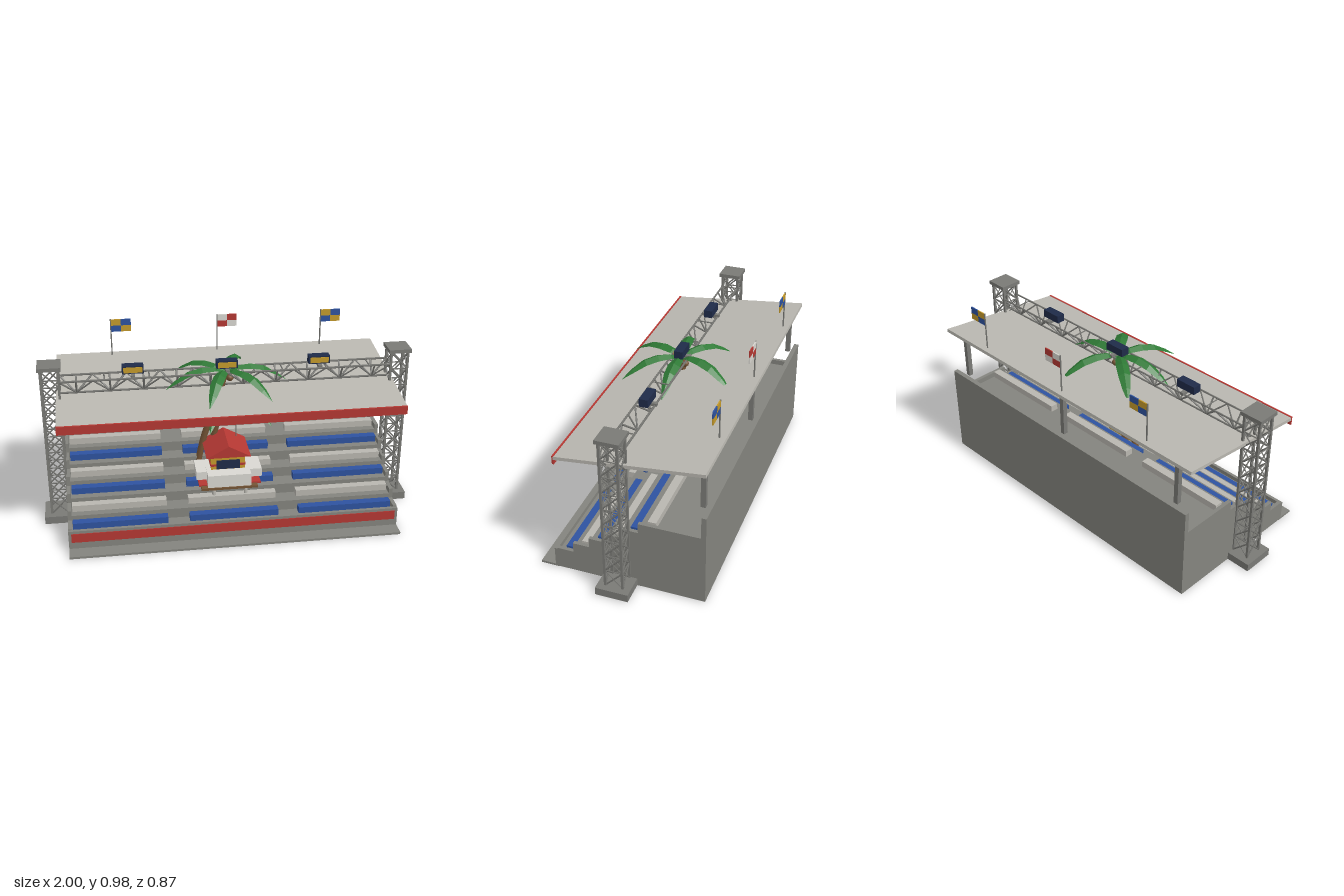
import * as THREE from 'three';

const mat = (name, color) => {
  const m = new THREE.MeshStandardMaterial({ color, side: THREE.DoubleSide });
  m.name = name;
  return m;
};

export function createModel() {
  const concrete = mat('concrete', 0x84847e), steel = mat('steel', 0x7a7a76);
  const pale = mat('pale grey', 0xb9b7b0), white = mat('white', 0xdad8d2);
  const red = mat('red', 0xb53833), blue = mat('blue', 0x2e53a0);
  const gold = mat('gold', 0xc59a2b), green = mat('leaf green', 0x2f7a36);
  const brown = mat('bark brown', 0x765536), navy = mat('navy', 0x1f2b49);

  const model = new THREE.Group();
  const group = (name, parent = model) => {
    const g = new THREE.Group();
    g.name = name;
    parent.add(g);
    return g;
  };
  const add = (parent, name, geo, material) => {
    const m = new THREE.Mesh(geo, material);
    m.name = name;
    parent.add(m);
    return m;
  };
  // box given by its limits on each axis
  const box = (parent, name, material, x0, x1, y0, y1, z0, z1) => {
    const m = add(parent, name, new THREE.BoxGeometry(x1 - x0, y1 - y0, z1 - z0), material);
    m.position.set((x0 + x1) / 2, (y0 + y1) / 2, (z0 + z1) / 2);
    return m;
  };
  // straight bar between two points
  const bar = (parent, name, material, a, b, r = 0.004, sides = 4) => {
    const p = new THREE.Vector3(...a), q = new THREE.Vector3(...b), d = q.clone().sub(p);
    const m = add(parent, name, new THREE.CylinderGeometry(r, r, d.length(), sides), material);
    m.position.copy(p).add(q).multiplyScalar(0.5);
    m.quaternion.setFromUnitVectors(new THREE.Vector3(0, 1, 0), d.normalize());
    return m;
  };
  // stepped or plain (z, y) outline extruded along x
  const extrudeX = (parent, name, material, pts, x0, x1) => {
    const s = new THREE.Shape(pts.map(([z, y]) => new THREE.Vector2(z, y)));
    const g = new THREE.ExtrudeGeometry(s, { depth: x1 - x0, bevelEnabled: false });
    g.rotateY(-Math.PI / 2).translate(x1, 0, 0);
    return add(parent, name, g, material);
  };

  // Terraces: lower treads between two stepped end walls
  const stand = group('grandstand');
  const steps = (drop) => {
    const pts = [[-0.41, 0.003], [0.34, 0.003]];
    for (let i = 0; i < 6; i++) {
      const y = 0.12 + i * 0.054 - drop;
      pts.push([0.34 - i * 0.087, y], [i < 5 ? 0.253 - i * 0.087 : -0.41, y]);
    }
    return pts;
  };
  extrudeX(stand, 'terraces', concrete, steps(0.028), -0.85, 0.85);
  for (const s of [-1, 1]) {
    extrudeX(stand, 'endWall', concrete, steps(0), s > 0 ? 0.85 : -0.87, s > 0 ? 0.87 : -0.85);
  }
  box(stand, 'backWall', concrete, -0.87, 0.87, 0.003, 0.51, -0.435, -0.41);
  box(stand, 'frontWall', concrete, -0.87, 0.87, 0.003, 0.115, 0.34, 0.356);
  box(stand, 'frontLedge', concrete, -0.87, 0.87, 0, 0.012, 0.34, 0.435);
  box(stand, 'frontBanner', red, -0.855, 0.855, 0.05, 0.1, 0.356, 0.36);

  // Benches: six rows in three blocks
  for (let i = 0; i < 6; i++) {
    const y = 0.092 + i * 0.054, z = 0.28 - i * 0.0875;
    for (const [x0, x1] of [[-0.845, -0.35], [-0.235, 0.235], [0.345, 0.845]]) {
      box(stand, 'bench', i % 2 ? pale : blue, x0, x1, y - 0.003, y + 0.035, z - 0.021, z + 0.021);
    }
  }

  // Sloping roof with fascia and rear posts
  const roof = group('roof');
  const slab = box(roof, 'roofSlab', pale, -0.89, 0.89, -0.009, 0.009, -0.377, 0.377);
  slab.position.set(0, 0.725, -0.06);
  slab.rotation.x = 0.105;
  box(roof, 'fascia', red, -0.89, 0.89, 0.652, 0.697, 0.31, 0.32);
  for (const x of [-0.78, 0, 0.78]) box(roof, 'rearPost', steel, x - 0.012, x + 0.012, 0.51, 0.75, -0.405, -0.38);

  // Lattice towers
  for (const s of [-1, 1]) {
    const t = group(s > 0 ? 'leftTower' : 'rightTower');
    t.position.x = s * 0.915;
    box(t, 'towerBase', steel, -0.084, 0.084, 0.004, 0.046, -0.085, 0.085);
    box(t, 'towerCap', steel, -0.06, 0.06, 0.88, 0.9, -0.06, 0.06);
    const h = 0.045, corners = [[-h, -h], [h, -h], [h, h], [-h, h]], bays = 9, bay = 0.835 / bays;
    corners.forEach(([x, z], k) => {
      const [u, w] = corners[(k + 1) % 4];
      box(t, 'towerLeg', steel, x - 0.006, x + 0.006, 0.045, 0.88, z - 0.006, z + 0.006);
      for (let i = 0; i < bays; i++) {
        const y = 0.045 + i * bay;
        bar(t, 'brace', steel, [x, y, z], [u, y + bay, w]);
        bar(t, 'brace', steel, [u, y, w], [x, y + bay, z]);
        bar(t, 'rung', steel, [x, y + bay, z], [u, y + bay, w]);
      }
    });
  }

  // Triangular truss spanning the towers
  const truss = group('truss');
  for (const z of [-0.045, 0.045]) {
    bar(truss, 'topChord', steel, [-0.87, 0.815, z], [0.87, 0.815, z], 0.006);
    for (let i = 0; i < 10; i++) {
      const x = -0.87 + i * 0.174, m = x + 0.087;
      bar(truss, 'trussBrace', steel, [x, 0.815, z], [m, 0.735, 0], 0.005);
      bar(truss, 'trussBrace', steel, [m, 0.735, 0], [x + 0.174, 0.815, z], 0.005);
      bar(truss, 'trussBrace', steel, [m, 0.735, 0], [m, 0.815, z], 0.005);
    }
  }
  bar(truss, 'bottomChord', steel, [-0.87, 0.735, 0], [0.87, 0.735, 0], 0.006);
  for (let i = 0; i < 8; i++) bar(truss, 'crossBar', steel, [-0.87 + i * 0.232, 0.815, -0.045], [-0.87 + i * 0.232, 0.815, 0.045]);

  // Floodlights
  for (const x of [-0.49, 0, 0.49]) {
    const f = group('floodlight');
    f.position.set(x, 0.849, -0.007);
    box(f, 'lampHousing', navy, -0.056, 0.056, -0.021, 0.021, -0.023, 0.023);
    box(f, 'lampLens', gold, -0.049, 0.049, -0.015, 0.015, 0.022, 0.026);
    box(f, 'lampBracket', steel, -0.01, 0.01, -0.035, -0.02, -0.05, 0.05);
  }

  // Chequered flags
  const flag = (x, y, z, w, h, a, b) => {
    const g = group('flag');
    for (let i = 0; i < 2; i++) for (let j = 0; j < 2; j++) {
      box(g, 'flagPanel', (i + j) % 2 ? a : b, x + i * w / 2, x + (i + 1) * w / 2,
        y + j * h / 2, y + (j + 1) * h / 2, z - 0.003, z + 0.003);
    }
    return g;
  };
  for (const x of [-0.585, 0, 0.585]) {
    const g = flag(x, 0.905, -0.4, 0.11, 0.07, x ? gold : white, x ? blue : red);
    bar(g, 'flagPole', steel, [x, 0.76, -0.4], [x, 0.977, -0.4], 0.004, 6);
  }
  const pennants = group('pennants');
  box(pennants, 'pennantTop', gold, 0.05, 0.14, 0.575, 0.605, 0, 0.006);
  box(pennants, 'pennantBottom', red, 0.05, 0.14, 0.547, 0.575, 0, 0.006);
  box(pennants, 'pennantBlue', blue, 0, 0.045, 0.57, 0.63, -0.006, 0);
  bar(pennants, 'pennantPole', steel, [0.05, 0.36, 0.003], [0.05, 0.65, 0.003], 0.003, 6);

  // Palms: leaning trunks, and crowns of arched, ridged fronds
  const palms = group('palms');
  const trunk = (pts) => {
    const curve = new THREE.CatmullRomCurve3(pts.map((p) => new THREE.Vector3(...p)));
    add(palms, 'trunk', new THREE.TubeGeometry(curve, 14, 0.018, 7), brown);
  };
  trunk([[-0.16, 0.25, -0.02], [-0.115, 0.45, -0.015], [-0.05, 0.63, -0.01], [-0.01, 0.8, 0]]);
  trunk([[-0.09, 0.25, -0.03], [-0.065, 0.43, -0.03], [-0.03, 0.58, -0.015], [-0.01, 0.68, 0]]);
  const frond = () => {
    // stations: distance, ridge height, half width
    const st = [[0, 0.005, 0.008], [0.06, 0.034, 0.026], [0.13, 0.04, 0.033], [0.2, 0.025, 0.031], [0.27, -0.018, 0.02], [0.325, -0.064, 0.001]];
    const pos = [], idx = [];
    st.forEach(([r, y, w]) => pos.push(r, y - w * 0.5, -w, r, y, 0, r, y - w * 0.5, w));
    for (let i = 0; i < st.length - 1; i++) for (let j = 0; j < 2; j++) {
      const a = i * 3 + j;
      idx.push(a, a + 1, a + 3, a + 1, a + 4, a + 3);
    }
    const g = new THREE.BufferGeometry();
    g.setAttribute('position', new THREE.Float32BufferAttribute(pos, 3));
    g.setIndex(idx);
    const flat = g.toNonIndexed();
    flat.computeVertexNormals();
    return flat;
  };
  const frondTips = [[0.33, -0.01], [0.2, 0.25], [-0.12, 0.3], [-0.33, 0.045], [-0.27, -0.2], [0.12, -0.3]];
  for (const y of [0.8, 0.66]) {
    const crown = group('crown', palms);
    crown.position.set(-0.005, y, -0.005);
    for (const [x, z] of frondTips) {
      const f = add(crown, 'frond', frond(), green);
      f.rotation.y = -Math.atan2(z, x);
    }
    for (const [x, z] of [[0.02, 0.015], [-0.02, 0.015], [0, -0.02]]) {
      add(crown, 'coconut', new THREE.SphereGeometry(0.02, 8, 6), brown).position.set(x, -0.025, z);
    }
  }

  // Beach hut on a raised deck
  const hut = group('hut');
  hut.position.x = -0.015;
  box(hut, 'deck', brown, -0.15, 0.15, 0.227, 0.24, 0.07, 0.23);
  box(hut, 'counter', white, -0.115, 0.115, 0.24, 0.31, 0.1, 0.225);
  box(hut, 'sideCounter', white, -0.17, 0.18, 0.262, 0.308, 0.03, 0.17);
  box(hut, 'redBoard', red, -0.16, 0.17, 0.236, 0.246, 0.11, 0.2);
  box(hut, 'hutBody', gold, -0.09, 0.09, 0.28, 0.4, 0, 0.155);
  box(hut, 'hutBand', red, -0.094, 0.094, 0.33, 0.342, -0.003, 0.159);
  box(hut, 'serviceWindow', navy, -0.062, 0.062, 0.315, 0.365, 0.157, 0.163);
  for (const x of [-0.08, 0.09]) bar(hut, 'deckLeg', pale, [x, 0.17, 0.195], [x, 0.23, 0.19], 0.011, 6);
  const gable = new THREE.Shape([[-0.118, 0.395], [0.118, 0.395], [0, 0.46]].map((p) => new THREE.Vector2(...p)));
  add(hut, 'hutRoof', new THREE.ExtrudeGeometry(gable, { depth: 0.23, bevelEnabled: false }), red).position.z = -0.04;

  // Ground plate on the underside
  box(model, 'groundPlate', brown, -0.21, 0.21, 0.001, 0.005, -0.14, 0.14);
  box(model, 'groundStripe', green, -0.2, 0.2, 0, 0.004, -0.022, 0.022);

  return model;
}
